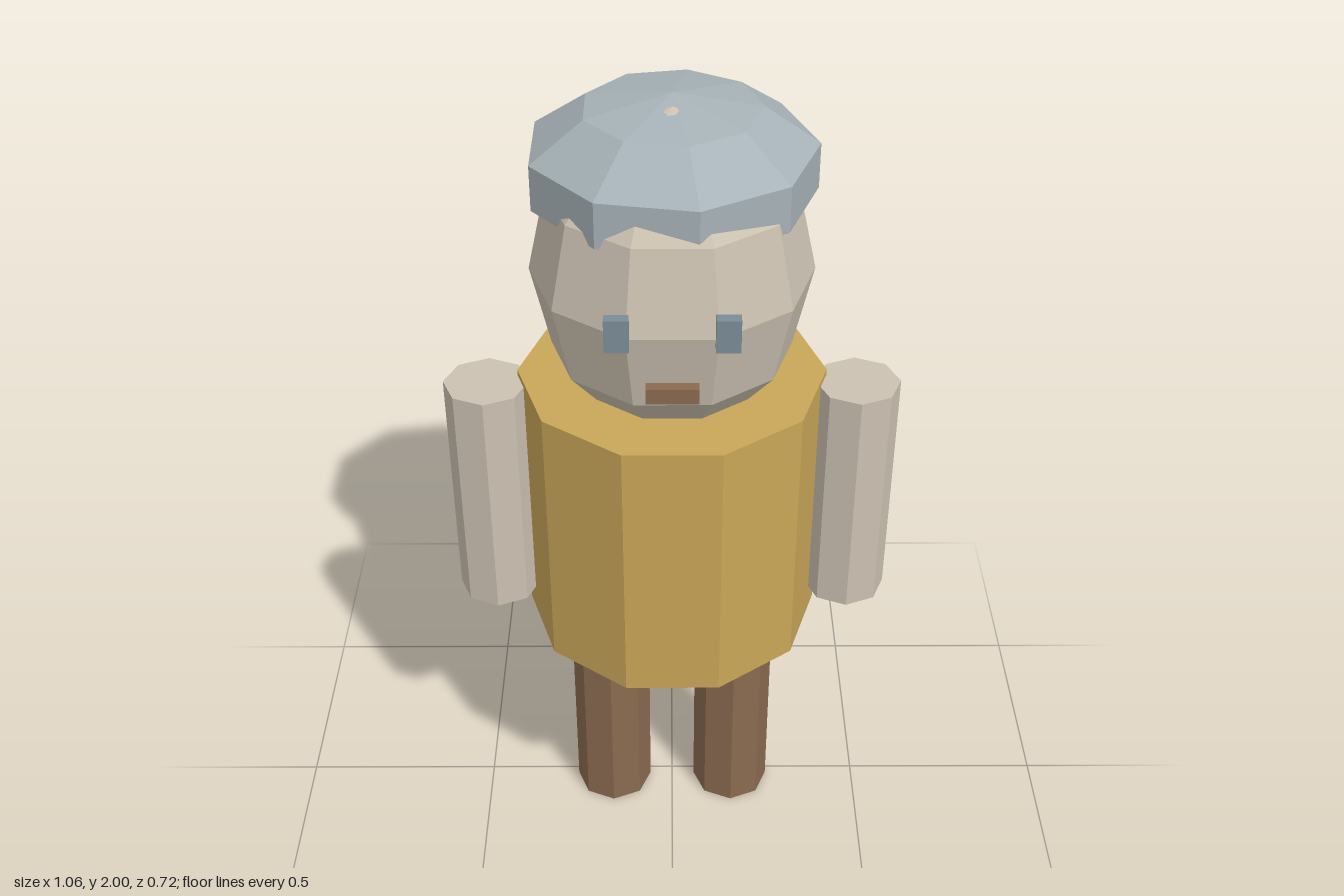
import * as THREE from 'three';

const paint = (name, color) => {
  const m = new THREE.MeshStandardMaterial({ color });
  m.name = name;
  m.flatShading = true;
  return m;
};

export function createModel() {
  const group = new THREE.Group();
  const skin = paint('skin', 0xcbc1b1);
  const mustard = paint('mustard', 0xc9a658);
  const brown = paint('brown', 0x8a6a50);
  const hatGrey = paint('hatGrey', 0xa6b2b7);
  const eyeBlue = paint('eyeBlue', 0x7a8c97);

  const add = (name, geometry, material, x, y, z) => {
    const mesh = new THREE.Mesh(geometry, material);
    mesh.name = name;
    mesh.position.set(x, y, z);
    group.add(mesh);
    return mesh;
  };

  // Ten-sided body with corners on the x axis
  add('torso', new THREE.CylinderGeometry(0.36, 0.36, 0.69, 10).rotateY(Math.PI / 10),
    mustard, 0, 0.995, 0.02);

  // Stretched low-poly head
  add('head', new THREE.SphereGeometry(0.32, 10, 6).scale(1, 1.2, 1), skin, 0, 1.61, 0.02);

  // Flattened cap, set slightly back
  add('cap', new THREE.SphereGeometry(0.34, 9, 5).rotateY(Math.PI).scale(1, 0.5, 1),
    hatGrey, 0, 1.83, -0.04);

  // Paired limbs and eyes
  for (const [side, s] of [['left', 1], ['right', -1]]) {
    add(side + 'Arm', new THREE.CylinderGeometry(0.1, 0.1, 0.6, 8), skin, s * 0.432, 1.025, 0.046);
    add(side + 'Leg', new THREE.CylinderGeometry(0.1, 0.1, 0.61, 8), brown, s * 0.16, 0.305, 0.021);
    add(side + 'Eye', new THREE.BoxGeometry(0.053, 0.077, 0.027), eyeBlue, s * 0.117, 1.63, 0.334);
  }

  // Mouth bar
  add('mouth', new THREE.BoxGeometry(0.114, 0.037, 0.027), brown, 0, 1.482, 0.334);

  return group;
}
